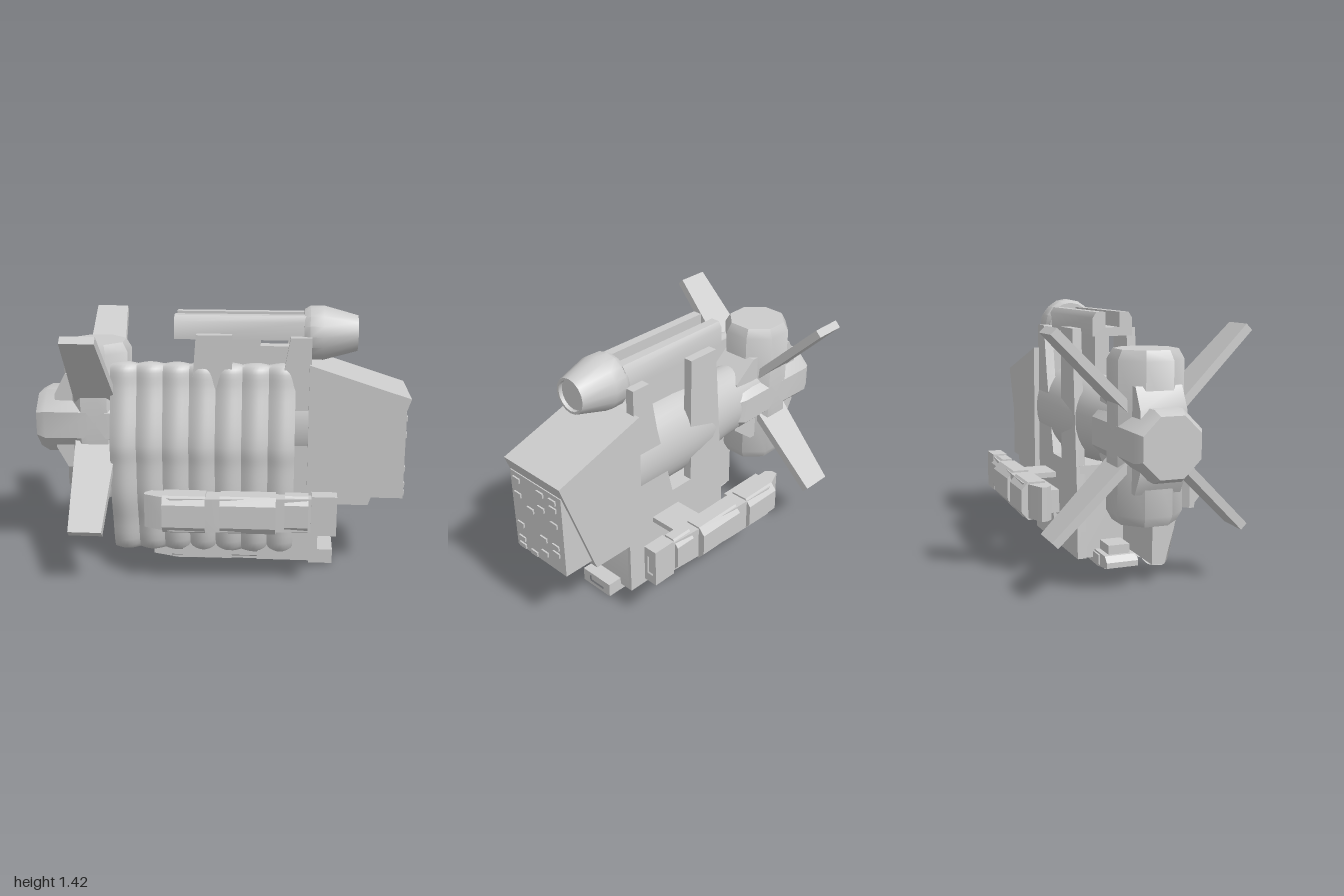
import * as THREE from 'three';
import { toCreasedNormals } from 'three/addons/utils/BufferGeometryUtils.js';

const MID = 0.04; // centre plane of the ship
const AXIS = 0.8; // height of the fuselage axis
const mat = new THREE.MeshStandardMaterial({ color: 0xcccccc });
const matDouble = new THREE.MeshStandardMaterial({ color: 0xcccccc, side: THREE.DoubleSide });

function add(parent, name, geo, material = mat) {
  const m = new THREE.Mesh(toCreasedNormals(geo, 0.6), material);
  m.name = name;
  parent.add(m);
  return m;
}
function box(parent, name, x0, x1, y0, y1, z0, z1) {
  const g = new THREE.BoxGeometry(x1 - x0, y1 - y0, z1 - z0);
  g.translate((x0 + x1) / 2, (y0 + y1) / 2, (z0 + z1) / 2);
  return add(parent, name, g);
}
function shapeOf(pts, hole) {
  const s = new THREE.Shape(pts.map(p => new THREE.Vector2(...p)));
  if (hole) s.holes.push(new THREE.Path(hole.map(p => new THREE.Vector2(...p))));
  return s;
}
// side profile (x, y) extruded across the ship
function sidePrism(pts, z0, z1) {
  const g = new THREE.ExtrudeGeometry(shapeOf(pts), { depth: z1 - z0, bevelEnabled: false });
  return g.translate(0, 0, z0);
}
// cross-section (z, y) extruded along the ship
function longPrism(pts, x0, x1, hole) {
  const flip = a => a && a.map(([z, y]) => [-z, y]);
  const g = new THREE.ExtrudeGeometry(shapeOf(flip(pts), flip(hole)), { depth: x1 - x0, bevelEnabled: false });
  return g.rotateY(Math.PI / 2).translate(x0, 0, 0);
}
// round body along x from [radius, x] pairs
function lathe(pts, sides) {
  const g = new THREE.LatheGeometry(pts.map(p => new THREE.Vector2(...p)), sides);
  return g.rotateZ(-Math.PI / 2);
}
const rect = (z0, z1, y0, y1) => [[z0, y0], [z1, y0], [z1, y1], [z0, y1]];

// segmented equipment pod, long axis x, outer side +z
function makePod(name, bulge) {
  const pod = new THREE.Group();
  pod.name = name;
  const plan = [[-0.38, 0.03], [-0.35, 0], [0.06, 0], [0.44, 0.02], [0.48, 0.02], [0.48, 0.08],
    [0.06, 0.11], [-0.24, 0.12], [-0.38, 0.06]].map(([x, z]) => [x, -z * (z > 0.1 ? bulge : 1)]);
  const core = new THREE.ExtrudeGeometry(shapeOf(plan), { depth: 0.18, bevelEnabled: false });
  add(pod, 'podCore', core.rotateX(-Math.PI / 2).translate(0, -0.09, 0));
  for (const [x0, x1, d] of [[-0.28, -0.06, 0.138], [0.015, 0.3, 0.13], [0.345, 0.465, 0.1]]) {
    const z = d * bulge, c = Math.min(0.035, z * 0.4);
    add(pod, 'podSegment', longPrism([[0.01, -0.1], [z - c, -0.1], [z, -0.06], [z, 0.06], [z - c, 0.1], [0.01, 0.1]], x0, x1));
  }
  box(pod, 'podMount', -0.33, -0.06, -0.06, 0.06, -0.05, 0.03);
  add(pod, 'podEnd', longPrism(rect(0.005, 0.085, -0.105, 0.105), 0.48, 0.61, rect(0.025, 0.065, -0.055, 0.055)));
  box(pod, 'podEndRecess', 0.48, 0.595, -0.06, 0.06, 0.02, 0.07);
  return pod;
}

export function createModel() {
  const root = new THREE.Group();
  root.name = 'spaceship';
  const ship = new THREE.Group();
  ship.name = 'hull';
  ship.rotation.y = -Math.PI / 12;
  root.add(ship);

  // fuselage, oval in section
  const body = lathe([[0.2, -0.72], [0.2, -0.5], [0.21, -0.3], [0.235, -0.12], [0.25, 0.05], [0.25, 0.5]], 32);
  add(ship, 'fuselage', body.scale(1, 1, 0.78).translate(0, AXIS, MID), matDouble);

  // tail: an upright and a lengthwise chamfered lobe, with a filled-in hub at the crossing
  const lobe = h => lathe([[0, -h], [0.16, -h], [0.188, -h + 0.05], [0.185, 0], [0.188, h - 0.05], [0.16, h], [0, h]], 8)
    .rotateX(Math.PI / 8);
  add(ship, 'tailUprightLobe', lobe(0.425).rotateZ(Math.PI / 2).translate(-0.68, AXIS, MID));
  add(ship, 'tailEngineLobe', lobe(0.32).translate(-0.68, AXIS - 0.01, MID));
  add(ship, 'tailHub', sidePrism([[-0.9, -0.15], [-0.84, -0.26], [-0.52, -0.26], [-0.38, -0.15],
    [-0.38, 0.15], [-0.52, 0.26], [-0.84, 0.26], [-0.9, 0.15]], -0.12, 0.12).translate(0, AXIS, MID));

  // four diagonal tail fins
  for (let i = 0; i < 4; i++) {
    const g = sidePrism([[-0.79, 0.12], [-0.56, 0.12], [-0.59, 0.715], [-0.765, 0.715]], -0.022, 0.022);
    add(ship, 'tailFin', g.rotateX(Math.PI / 4 + i * Math.PI / 2).translate(0, AXIS + 0.015, MID + 0.012));
  }

  // lower hull with a notch in its underside
  add(ship, 'lowerHull', sidePrism([[-0.2, 0.05], [0.057, 0.05], [0.057, 0.22], [0.2, 0.22], [0.2, 0.05],
    [0.525, 0.05], [0.525, 0.42], [0.47, 0.56], [-0.19, 0.56]], -0.12, 0.2));

  // side frames, each rising to two pylons
  const frame = [[-0.21, 0.05], [0.057, 0.05], [0.057, 0.22], [0.2, 0.22], [0.2, 0.05], [0.525, 0.05],
    [0.525, 0.4], [0.47, 0.4], [0.47, 1.28], [0.36, 1.28], [0.31, 1.0], [0.2, 0.56], [0.057, 0.56],
    [0.057, 1.29], [-0.13, 1.29], [-0.2, 0.4]];
  add(ship, 'rightFrame', sidePrism(frame, -0.14, -0.09));
  add(ship, 'leftFrame', sidePrism(frame, 0.17, 0.22));
  box(ship, 'spine', -0.1, 0.2, 0.95, 1.26, 0.0, 0.08);
  box(ship, 'lowSpine', 0.2, 0.42, 0.95, 1.21, 0.0, 0.08);
  box(ship, 'frontBulkhead', 0.36, 0.47, 0.5, 1.14, -0.12, 0.2);

  // head with an undercut nose
  add(ship, 'head', sidePrism([[0.46, 0.39], [0.785, 0.39], [0.988, 0.975], [0.46, 1.145]], -0.17, 0.245));
  box(ship, 'windowBlock', 0.7, 0.968, 0.43, 0.9, -0.15, 0.235);
  const windows = [[0.86, 0.43, 0.255, 0.165], [0.815, 0.165], [0.77, 0.43, 0.255], [0.72, 0.34, 0.165],
    [0.585, 0.43, 0.255, 0.165], [0.54, 0.165], [0.495, 0.43, 0.255], [0.45, 0.43, 0.34]];
  for (const [y, ...cols] of windows) for (const c of cols) {
    const z = (c - 0.25) / 0.966;
    box(ship, 'window', 0.955, 0.977, y - 0.013, y + 0.013, z - 0.025, z + 0.025);
  }

  // ribbed side panel: a sheet of seven shallow ribs over a solid core
  const section = [[0.13, 1.12], [0.19, 1.12], [0.22, 1.0], [0.29, 0.71], [0.285, 0.6], [0.28, 0.42], [0.25, 0.28], [0.2, 0.1], [0.13, 0.1]];
  const curve = new THREE.CatmullRomCurve3(section.map(([z, y]) => new THREE.Vector3(0, y, z)), false, 'centripetal');
  const ribs = new THREE.PlaneGeometry(1, 1, 7 * 8, 40);
  const p = ribs.attributes.position;
  for (let i = 0; i < p.count; i++) {
    const s = p.getX(i) + 0.5, t = 0.5 - p.getY(i);
    const c = curve.getPoint(t), tan = curve.getTangent(t);
    const lift = 0.026 * Math.abs(Math.sin(s * 7 * Math.PI));
    p.setXYZ(i, -0.585 + s * 0.975, c.y + tan.z * lift * 0.4, c.z - tan.y * lift);
  }
  add(ship, 'ribbedPanel', ribs, matDouble);
  add(ship, 'ribbedPanelCore', longPrism(section, -0.585, 0.39));

  // top rail with a groove, and its barrel
  add(ship, 'topRail', longPrism([[-0.07, 1.255], [0.15, 1.255], [0.15, 1.35], [0.13, 1.38], [0.08, 1.38], [0.08, 1.3],
    [0, 1.3], [0, 1.38], [-0.05, 1.38], [-0.07, 1.35]], -0.25, 0.45));
  add(ship, 'barrel', lathe([[0, 0.43], [0.125, 0.43], [0.143, 0.46], [0.145, 0.53], [0.095, 0.71], [0.082, 0.71], [0.08, 0.69], [0, 0.69]], 16)
    .translate(0, 1.28, 0.048));

  // side pods, keel pod and the strut that carries them
  const left = makePod('leftPod', 1);
  left.position.set(0, 0.415, 0.41);
  const right = makePod('rightPod', 1);
  right.position.set(0, 0.415, 2 * MID - 0.415);
  right.scale.z = -1;
  const keel = makePod('keelPod', 0.685);
  keel.position.set(0, 0.095, 0.052);
  keel.rotation.x = Math.PI / 2;
  ship.add(left, right, keel);
  box(ship, 'podStrut', 0.157, 0.353, 0.43, 0.46, -0.36, 0.43);

  return root;
}
